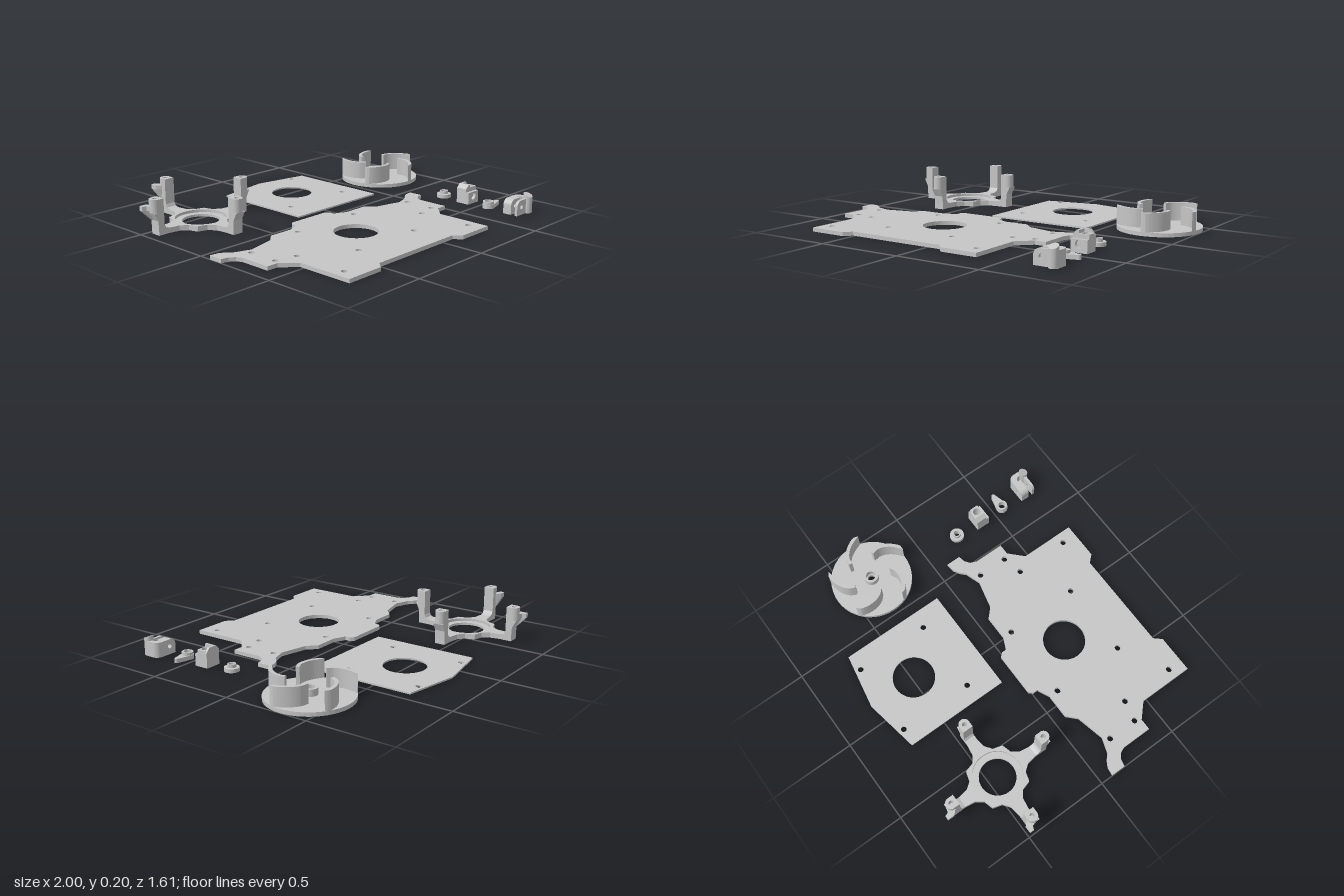
import * as THREE from 'three';

const grey = new THREE.MeshStandardMaterial({ color: 0xc6c6c6 });
grey.name = 'grey plastic';

// Shape from points, with round holes given as [x, y, radius]
function outline(points, holes = []) {
  const shape = new THREE.Shape(points.map(p => new THREE.Vector2(p[0], p[1])));
  return drill(shape, holes);
}
function drill(shape, holes) {
  for (const [x, y, r] of holes) shape.holes.push(new THREE.Path().absarc(x, y, r, 0, Math.PI * 2, true));
  return shape;
}
function disc(x, z, r, holes = []) {
  return drill(new THREE.Shape().absarc(x, z, r, 0, Math.PI * 2, false), holes);
}
// Plan shape (x, z) raised from y0 to y1
function slab(name, shape, y0, y1) {
  const geo = new THREE.ExtrudeGeometry(shape, { depth: y1 - y0, bevelEnabled: false, curveSegments: 24 });
  geo.rotateX(Math.PI / 2).translate(0, y1, 0);
  return part(name, geo);
}
// Front shape (x, y) running from z0 to z1
function wall(name, shape, z0, z1) {
  const geo = new THREE.ExtrudeGeometry(shape, { depth: z1 - z0, bevelEnabled: false, curveSegments: 24 });
  return part(name, geo.translate(0, 0, z0));
}
function part(name, geo) {
  const mesh = new THREE.Mesh(geo, grey);
  mesh.name = name;
  return mesh;
}
function group(name, x, z, ...children) {
  const g = new THREE.Group();
  g.name = name;
  g.position.set(x, 0, z);
  if (children.length) g.add(...children);
  return g;
}

// Large symmetrical base plate with two horns
function basePlate() {
  const half = [
    [0.13, -0.016], [0.15, 0.005], [0.15, 0.034], [0.22, 0.067], [0.365, 0.067], [0.42, 0.12],
    [0.583, 0.158], [0.67, 0.128], [0.7, 0.1], [0.735, 0.079], [0.785, 0.072], [0.785, 0.157],
    [0.745, 0.165], [0.715, 0.187], [0.7, 0.222], [0.7, 0.4], [0.635, 0.4], [0.555, 0.478],
    [0.555, 0.802], [0.333, 0.802], [0.295, 0.76],
  ];
  const points = [...half, ...half.map(([x, z]) => [-x, z]).reverse()];
  const holes = [[0, 0.341, 0.122]];
  for (const s of [-1, 1]) {
    for (const [x, z] of [[0.615, 0.191], [0.615, 0.366], [0.495, 0.394], [0.495, 0.714], [0.22, 0.124], [0.22, 0.559]]) {
      holes.push([s * x, z, 0.017]);
    }
  }
  return group('basePlate', -0.215, 0, slab('plate', outline(points, holes), 0, 0.022));
}

// Thin five-sided cover
function coverPlate() {
  const holes = [[0, -0.49, 0.121]];
  for (const x of [-0.218, 0.218]) for (const z of [-0.71, -0.273]) holes.push([x, z, 0.016]);
  const points = [[0, -0.783], [0.321, -0.725], [0.321, -0.103], [-0.321, -0.103], [-0.321, -0.725]];
  return group('coverPlate', 0.115, 0.004, slab('cover', outline(points, holes), 0, 0.009));
}

// Pump wheel: disc, hub and five curved vanes
function impeller() {
  const R = 0.238;
  const g = group('impeller', 0.762, -0.341,
    slab('wheelDisc', disc(0, 0, R, [[0, 0, 0.022]]), 0, 0.022),
    slab('hub', disc(0, 0, 0.043, [[0, 0, 0.028]]), 0.022, 0.06));
  const curve = new THREE.CatmullRomCurve3([
    [-0.028, -0.118], [-0.01, -0.153], [0.022, -0.179], [0.067, -0.196], [0.135, -0.203],
  ].map(([x, z]) => new THREE.Vector3(x, 0, z)));
  const inner = [], outer = [];
  for (let i = 0; i <= 14; i++) {
    const p = curve.getPoint(i / 14), t = curve.getTangent(i / 14);
    for (const [list, w] of [[inner, 0.01], [outer, -0.01]]) {
      const v = new THREE.Vector2(p.x - t.z * w, p.z + t.x * w).clampLength(0, R);
      list.push([v.x, v.y]);
    }
  }
  const section = [...inner, ...outer.reverse()];
  for (let i = 0; i < 5; i++) {
    const vane = slab('vane', outline(section), 0.022, 0.126);
    vane.rotation.y = -i * Math.PI * 2 / 5;
    g.add(vane);
  }
  return g;
}

// Four-armed motor mount with upright posts
function motorMount() {
  const quarter = [[0.31, 0.031], [0.24, 0.031], [0.18, 0.04], [0.14, 0.07], [0.125, 0.122],
    [0.122, 0.125], [0.07, 0.14], [0.04, 0.18], [0.031, 0.24], [0.031, 0.31]];
  const points = [];
  for (let k = 0; k < 4; k++) {
    const c = Math.round(Math.cos(k * Math.PI / 2)), s = Math.round(Math.sin(k * Math.PI / 2));
    for (const [x, z] of quarter) points.push([x * c - z * s, x * s + z * c]);
  }
  const g = group('motorMount', -0.633, -0.443,
    slab('mountFloor', outline(points, [[0, 0, 0.104]]), 0, 0.014),
    slab('mountRim', outline(points, [[0, 0, 0.142]]), 0.014, 0.03));
  for (let k = 0; k < 4; k++) {
    const arm = group('post', 0, 0);
    // Upright with a fillet at the foot and a flared outer face
    arm.add(wall('upright', outline([[0.24, 0.03], [0.31, 0.03], [0.312, 0.08], [0.335, 0.125],
      [0.272, 0.125], [0.272, 0.055], [0.262, 0.037]]), -0.031, 0.031));
    const top = new THREE.Shape();
    top.moveTo(0.272, -0.031).lineTo(0.305, -0.031);
    top.absarc(0.307, 0, 0.031, -Math.PI / 2, Math.PI / 2, false);
    top.lineTo(0.272, 0.031);
    arm.add(slab('postHead', drill(top, [[0.305, 0, 0.014]]), 0.125, 0.2));
    // Wire hooks on two of the posts, with a tapering underside
    if (k === 1 || k === 2) {
      const s = k === 2 ? 1 : -1;
      const plan = outline([[0.3, 0], [0.338, 0], [0.345, 0.024], [0.366, 0.032],
        [0.366, 0.056], [0.326, 0.056], [0.3, 0.031]].map(([x, z]) => [x, z * s]));
      const taper = slab('hookTaper', plan, 0.08, 0.135);
      const pos = taper.geometry.attributes.position;
      for (let i = 0; i < pos.count; i++) {
        if (pos.getY(i) < 0.1) pos.setXYZ(i, 0.3 + (pos.getX(i) - 0.3) * 0.25, 0.08, pos.getZ(i) * 0.6);
      }
      taper.geometry.computeVertexNormals();
      arm.add(slab('hook', plan, 0.135, 0.16), taper);
    }
    arm.rotation.y = k * Math.PI / 2;
    g.add(arm);
  }
  return g;
}

// Flanged bushing
function bushing() {
  return group('bushing', 0.697, 0.231,
    slab('flange', disc(0, 0, 0.042, [[0, 0, 0.017]]), 0, 0.022),
    slab('collar', disc(0, 0, 0.024, [[0, 0, 0.017]]), 0.022, 0.04));
}

// Drilled block with chamfered top and a lower front ledge
function drilledBlock() {
  const face = [[-0.048, 0], [0.048, 0], [0.048, 0.085], [0.025, 0.112], [-0.025, 0.112], [-0.048, 0.09]];
  return group('drilledBlock', 0.705, 0.399,
    wall('ledge', outline([[-0.048, 0], [0.048, 0], [0.048, 0.07], [-0.048, 0.07]], [[0, 0.045, 0.022]]), 0.024, 0.042),
    wall('backFace', outline(face), -0.042, -0.03),
    wall('leftBody', outline([[-0.048, 0], [-0.012, 0], [-0.012, 0.112], [-0.025, 0.112], [-0.048, 0.09]]), -0.03, 0.024),
    slab('socket', outline([[-0.012, -0.03], [0.048, -0.03], [0.048, 0.024], [-0.012, 0.024]],
      [[0.014, -0.004, 0.022]]), 0, 0.095));
}

// Small teardrop lever
function lever() {
  const arm = new THREE.Shape();
  arm.moveTo(0.008, -0.033).lineTo(0.088, -0.014);
  arm.absarc(0.086, 0, 0.012, -Math.PI / 2, Math.PI / 2, false);
  arm.lineTo(0.008, 0.033);
  arm.absarc(0, 0, 0.034, Math.PI * 0.42, Math.PI * 1.58, false);
  return group('lever', 0.69, 0.56,
    slab('leverArm', drill(arm, [[0, 0, 0.021]]), 0, 0.024),
    slab('leverRing', disc(0, 0, 0.032, [[0, 0, 0.021]]), 0.024, 0.04));
}

// Forked clamp with a curved bridge and a sloped thumb catch
function clamp() {
  const cheek = width => {
    const s = new THREE.Shape();
    s.moveTo(0, 0).lineTo(width, 0).lineTo(width, 0.086).lineTo(0.035, 0.086);
    s.absarc(0.035, 0.051, 0.035, Math.PI / 2, Math.PI, false);
    return drill(s, [[0.043, 0.047, 0.013]]);
  };
  const bridge = new THREE.Shape();
  bridge.moveTo(0.085, 0).lineTo(0.105, 0);
  bridge.absarc(0.105, 0.033, 0.033, -Math.PI / 2, 0, false);
  bridge.lineTo(0.138, 0.08).lineTo(0.112, 0.08).lineTo(0.112, 0.05);
  bridge.lineTo(0.1, 0.035).lineTo(0.085, 0.035);
  const knob = new THREE.CylinderGeometry(0.026, 0.026, 0.115, 20).translate(0.111, 0.0575, 0.09);
  const pos = knob.attributes.position;
  for (let i = 0; i < pos.count; i++) {
    if (pos.getY(i) > 0.1) pos.setY(i, 0.115 - (pos.getZ(i) - 0.064) * 0.4);
  }
  knob.computeVertexNormals();
  return group('clamp', 0.656, 0.686,
    wall('thickCheek', cheek(0.085), 0, 0.052),
    wall('thinCheek', cheek(0.138), 0.078, 0.094),
    slab('bridge', bridge, 0, 0.086),
    part('catch', knob));
}

export function createModel() {
  const model = new THREE.Group();
  model.name = 'printedPartsSet';
  model.add(basePlate(), coverPlate(), impeller(), motorMount(), bushing(), drilledBlock(), lever(), clamp());
  return model;
}
